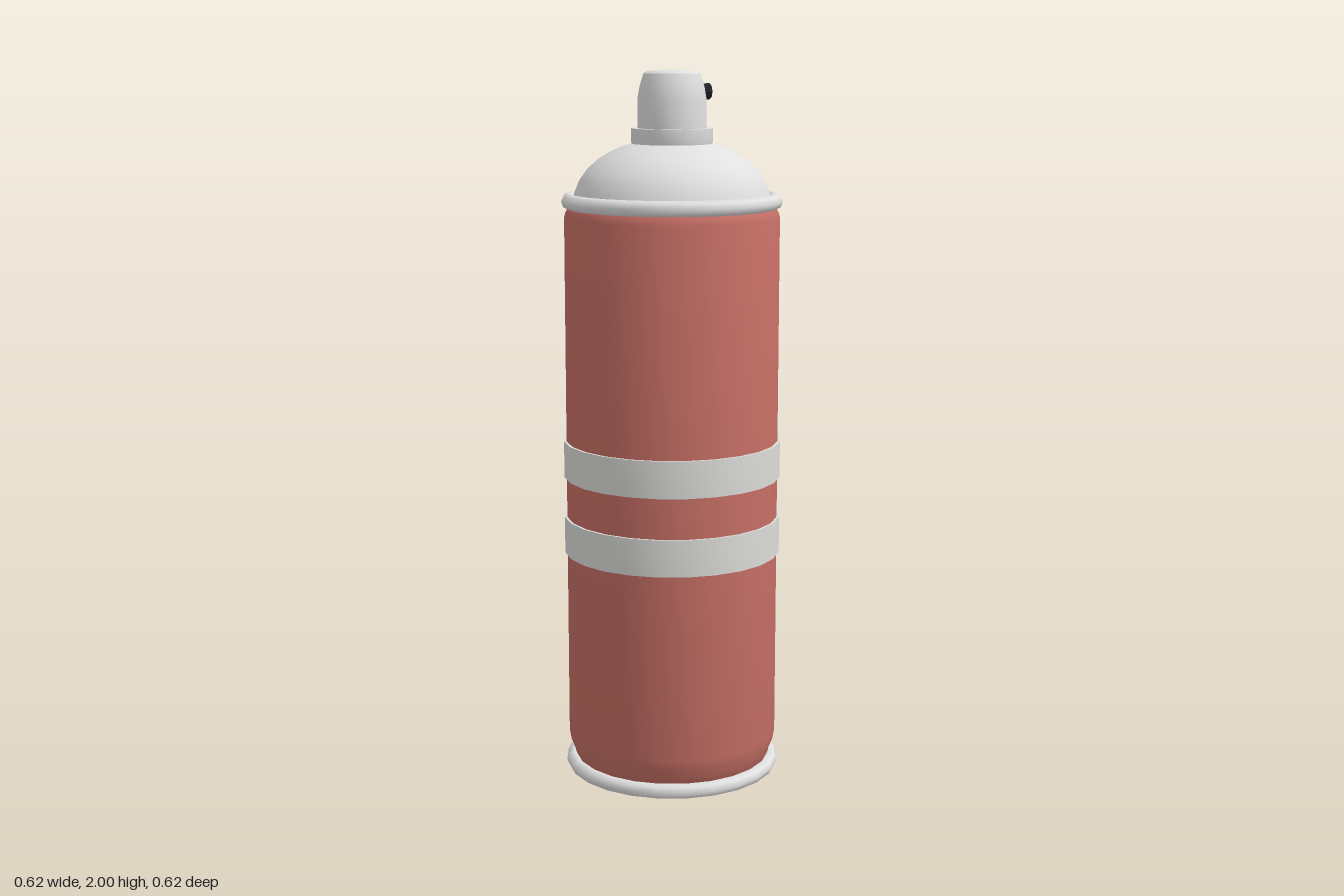
import * as THREE from 'three';
import { toCreasedNormals } from 'three/addons/utils/BufferGeometryUtils.js';

const paint = (name, color) => {
  const material = new THREE.MeshStandardMaterial({ color });
  material.name = name;
  return material;
};

export function createModel() {
  const red = paint('red paint', 0xc66f65);
  const white = paint('white plastic', 0xe0e0e0);
  const silver = paint('pale band', 0xdcddd9);
  const black = paint('black nozzle', 0x20212a);

  const group = new THREE.Group();
  group.name = 'sprayCan';

  // Turned part: profile is [radius, height] from the bottom up the outside
  const turn = (name, profile, sides, material) => {
    const points = profile.map(([r, y]) => new THREE.Vector2(r, y));
    const geometry = toCreasedNormals(new THREE.LatheGeometry(points, sides), 0.62);
    const mesh = new THREE.Mesh(geometry, material);
    mesh.name = name;
    group.add(mesh);
    return mesh;
  };

  // Can body with a hollow domed base
  turn('body', [
    [0, 0.1], [0.1, 0.09], [0.19, 0.064], [0.262, 0.02], [0.278, 0.035],
    [0.285, 0.06], [0.295, 0.085], [0.3, 0.115],
    [0.3, 1.6], [0.296, 1.615], [0.285, 1.635], [0.27, 1.645],
  ], 24, red);

  // Rolled rims at both ends
  for (const [name, y] of [['bottomRim', 0.022], ['topRim', 1.643]]) {
    const rim = new THREE.Mesh(new THREE.TorusGeometry(0.286, 0.022, 8, 24), white);
    rim.name = name;
    rim.rotation.x = Math.PI / 2;
    rim.position.y = y;
    group.add(rim);
  }

  // Two raised bands
  for (const [name, y] of [['lowerBand', 0.647], ['upperBand', 0.866]]) {
    turn(name, [[0.297, y], [0.307, y], [0.307, y + 0.104], [0.297, y + 0.104]], 24, silver);
  }

  // Domed shoulder
  turn('shoulder', [
    [0.278, 1.645], [0.27, 1.67], [0.258, 1.7], [0.238, 1.727],
    [0.208, 1.755], [0.17, 1.778], [0.13, 1.795], [0.08, 1.808],
  ], 24, white);

  // Valve collar
  turn('collar', [[0.108, 1.79], [0.113, 1.805], [0.113, 1.842], [0, 1.842]], 32, white);

  // Push button with a tapered crown
  turn('button', [
    [0.095, 1.835], [0.095, 1.92], [0.089, 1.955], [0.078, 1.99], [0.068, 1.997], [0, 2],
  ], 16, white);

  // Spray nozzle facing sideways
  const nozzle = new THREE.Mesh(
    toCreasedNormals(new THREE.CylinderGeometry(0.022, 0.022, 0.032, 8), 0.5), black);
  nozzle.name = 'nozzle';
  nozzle.rotation.z = -Math.PI / 2;
  nozzle.position.set(0.096, 1.94, 0);
  group.add(nozzle);

  return group;
}
